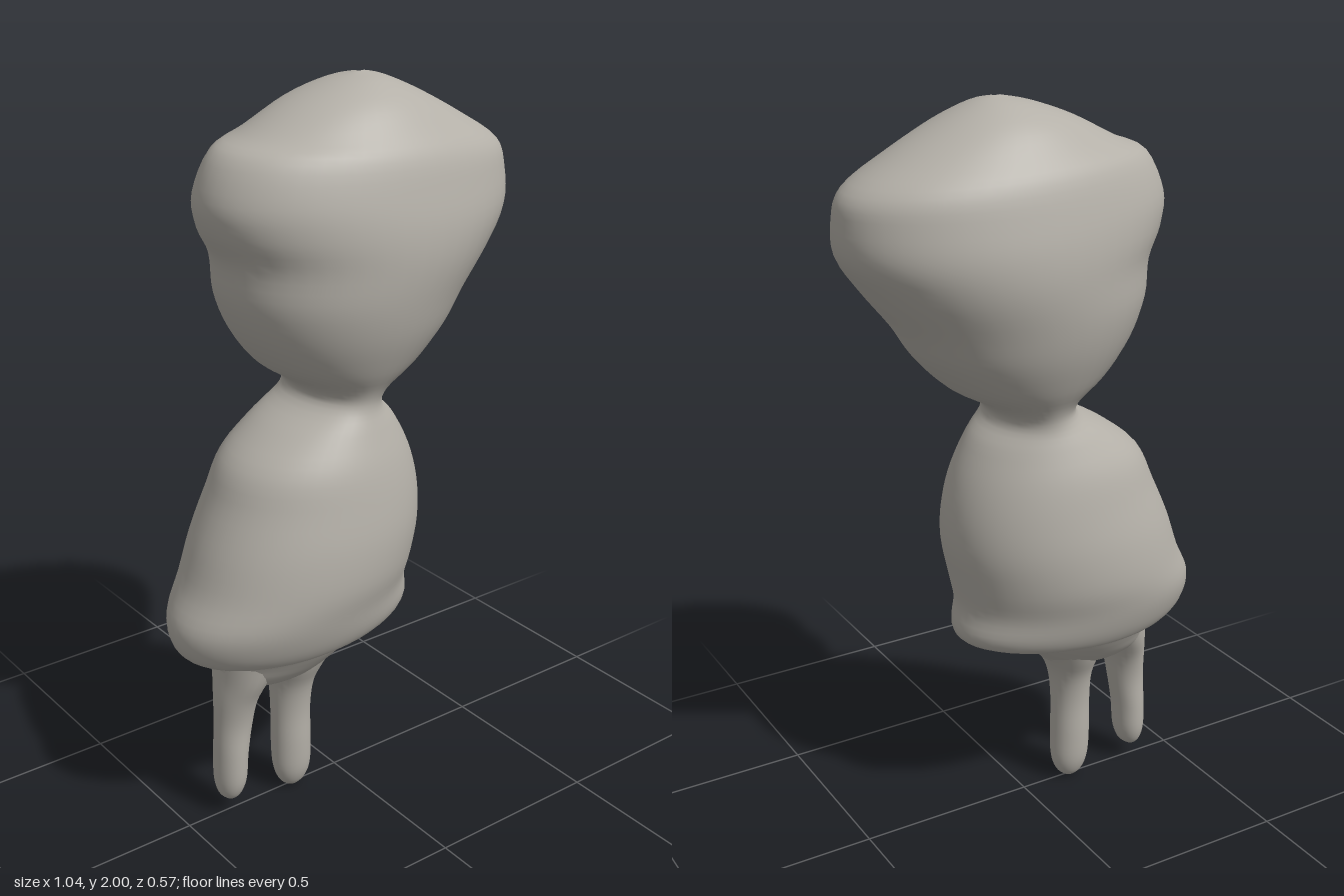
import * as THREE from 'three';

// Lofts a smooth puffy skin through elliptical rings listed from top to bottom.
// Each key: [x right side, y right side, x left side, y left side, half depth]
function puffyLoft(keys, steps, sides) {
  const edgeA = new THREE.CatmullRomCurve3(keys.map(k => new THREE.Vector3(k[0], k[1], k[4])), false, 'catmullrom', 0.5);
  const edgeB = new THREE.CatmullRomCurve3(keys.map(k => new THREE.Vector3(k[2], k[3], k[4])), false, 'catmullrom', 0.5);
  const rows = (keys.length - 1) * steps;
  const pos = [], index = [];
  for (let r = 0; r <= rows; r++) {
    const a = edgeA.getPoint(r / rows), b = edgeB.getPoint(r / rows);
    const depth = Math.max(a.z, 0);
    for (let s = 0; s < sides; s++) {
      const angle = s / sides * Math.PI * 2;
      const t = 0.5 + 0.5 * Math.cos(angle);
      pos.push(a.x + (b.x - a.x) * t, a.y + (b.y - a.y) * t, depth * Math.sin(angle));
      if (r < rows) {
        const n = (s + 1) % sides, p = r * sides, q = p + sides;
        index.push(p + s, p + n, q + s, p + n, q + n, q + s);
      }
    }
  }
  const geo = new THREE.BufferGeometry();
  geo.setAttribute('position', new THREE.Float32BufferAttribute(pos, 3));
  geo.setIndex(index);
  geo.computeVertexNormals();
  return geo;
}

export function createModel() {
  const group = new THREE.Group();
  const clay = new THREE.MeshStandardMaterial({ color: 0xb4b0a8 });
  clay.name = 'warm grey clay';

  const add = (name, keys, steps, sides) => {
    const mesh = new THREE.Mesh(puffyLoft(keys, steps, sides), clay);
    mesh.name = name;
    group.add(mesh);
  };

  // Wide head, pinched neck and cloak-like torso in one continuous skin
  add('headAndTorso', [
    [0.07, 2.0, 0.09, 2.0, 0.005],
    [-0.02, 1.98, 0.15, 1.985, 0.08],
    [-0.13, 1.94, 0.25, 1.94, 0.155],
    [-0.25, 1.88, 0.38, 1.87, 0.21],
    [-0.34, 1.84, 0.49, 1.8, 0.245],
    [-0.39, 1.74, 0.515, 1.73, 0.268],
    [-0.38, 1.66, 0.51, 1.64, 0.283],
    [-0.34, 1.58, 0.45, 1.55, 0.285],
    [-0.33, 1.48, 0.37, 1.45, 0.272],
    [-0.29, 1.38, 0.31, 1.36, 0.248],
    [-0.22, 1.29, 0.22, 1.27, 0.21],
    [-0.13, 1.225, 0.12, 1.21, 0.175],
    [-0.13, 1.18, 0.10, 1.165, 0.168],
    [-0.23, 1.12, 0.15, 1.11, 0.19],
    [-0.33, 1.04, 0.2, 1.02, 0.222],
    [-0.38, 0.94, 0.228, 0.92, 0.243],
    [-0.43, 0.83, 0.232, 0.82, 0.258],
    [-0.47, 0.72, 0.213, 0.72, 0.258],
    [-0.515, 0.63, 0.2, 0.64, 0.24],
    [-0.51, 0.56, 0.212, 0.57, 0.218],
    [-0.47, 0.515, 0.18, 0.532, 0.195],
    [-0.4, 0.505, 0.07, 0.527, 0.178],
    [-0.385, 0.48, 0.02, 0.485, 0.155],
    [-0.38, 0.44, -0.04, 0.435, 0.12],
    [-0.35, 0.405, -0.09, 0.4, 0.075],
    [-0.24, 0.395, -0.22, 0.395, 0.005],
  ], 4, 48);

  // Two uneven stubby legs, flared where they leave the torso
  add('rightLeg', [
    [-0.38, 0.5, -0.2, 0.5, 0.12],
    [-0.385, 0.43, -0.25, 0.43, 0.1],
    [-0.395, 0.36, -0.28, 0.36, 0.072],
    [-0.4, 0.28, -0.295, 0.28, 0.056],
    [-0.405, 0.19, -0.311, 0.19, 0.055],
    [-0.406, 0.11, -0.318, 0.11, 0.052],
    [-0.398, 0.065, -0.332, 0.065, 0.038],
    [-0.38, 0.044, -0.355, 0.044, 0.018],
    [-0.368, 0.04, -0.364, 0.04, 0.002],
  ], 4, 24);
  add('leftLeg', [
    [-0.26, 0.5, 0.0, 0.5, 0.13],
    [-0.235, 0.42, -0.06, 0.42, 0.1],
    [-0.215, 0.35, -0.09, 0.35, 0.07],
    [-0.212, 0.26, -0.098, 0.26, 0.056],
    [-0.213, 0.16, -0.097, 0.16, 0.055],
    [-0.21, 0.075, -0.098, 0.075, 0.05],
    [-0.196, 0.028, -0.112, 0.028, 0.036],
    [-0.175, 0.005, -0.135, 0.005, 0.018],
    [-0.158, 0.0, -0.152, 0.0, 0.002],
  ], 4, 24);

  return group;
}
